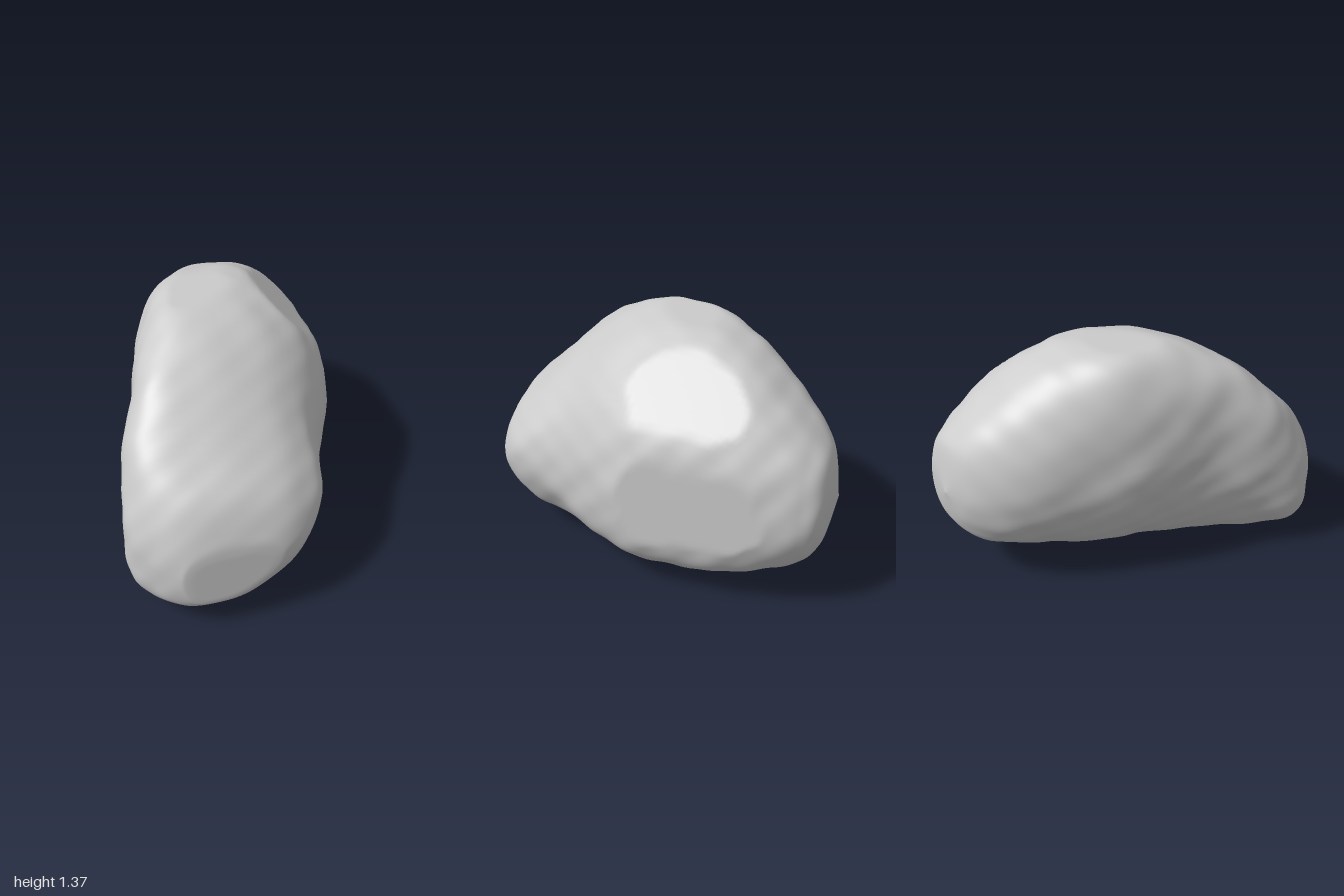
import * as THREE from 'three';

// Cross-sections from back to front:
// z, left x, right x, bottom y, top y, y of left extreme, y of right extreme, x of top, x of bottom
const SECTIONS = [
  [-1.0, 0.3, 0.3, 0.62, 0.62, 0.62, 0.62, 0.3, 0.3],
  [-0.95, 0.13, 0.53, 0.4, 0.87, 0.65, 0.6, 0.3, 0.35],
  [-0.85, -0.01, 0.61, 0.27, 1.0, 0.68, 0.6, 0.25, 0.34],
  [-0.7, -0.13, 0.65, 0.2, 1.14, 0.72, 0.6, 0.17, 0.32],
  [-0.5, -0.24, 0.68, 0.14, 1.29, 0.75, 0.6, 0.06, 0.28],
  [-0.25, -0.36, 0.68, 0.07, 1.38, 0.78, 0.6, -0.05, 0.22],
  [0.0, -0.44, 0.68, 0.05, 1.375, 0.8, 0.6, -0.12, 0.15],
  [0.25, -0.51, 0.58, 0.04, 1.31, 0.78, 0.58, -0.18, 0.04],
  [0.5, -0.61, 0.46, 0.04, 1.15, 0.7, 0.57, -0.24, -0.08],
  [0.75, -0.65, 0.39, 0.06, 0.92, 0.4, 0.55, -0.25, -0.18],
  [0.9, -0.55, 0.27, 0.11, 0.77, 0.37, 0.5, -0.23, -0.26],
  [0.98, -0.45, 0.14, 0.17, 0.6, 0.36, 0.46, -0.2, -0.26],
  [1.0, -0.38, 0.04, 0.22, 0.5, 0.36, 0.42, -0.17, -0.26],
  [1.0, -0.17, -0.17, 0.36, 0.36, 0.36, 0.36, -0.17, -0.17],
];
const RINGS = 120, SIDES = 112;

// Smooth, repeatable surface unevenness
function noise(x, y, z) {
  return 0.5 * Math.sin(9 * x + 5 * y + 2) * Math.sin(8 * z - 4 * y)
    + 0.35 * Math.sin(17 * y + 6 * z) * Math.cos(15 * x - 7 * z + 1)
    + 0.3 * Math.sin(29 * z + 11 * x) * Math.sin(27 * y - 13 * x + 2);
}

// Squareness of each quadrant, changing from the back to the front
function squareness(c, s, z) {
  const front = THREE.MathUtils.smoothstep(z, -0.1, 0.8);
  const middle = THREE.MathUtils.smoothstep(z, -0.9, 0.1);
  if (c < 0) return s < 0 ? 2.0 + 0.6 * front : 2.2 + 0.5 * middle;
  return s < 0 ? 2.7 - 0.75 * front : 2.3 - 0.3 * front;
}

function rockGeometry() {
  // One spline per column, all sharing the same parameter
  const columns = SECTIONS[0].map((_, k) =>
    new THREE.SplineCurve(SECTIONS.map((row, i) => new THREE.Vector2(i, row[k]))));
  const positions = [], indices = [];

  for (let i = 0; i <= RINGS; i++) {
    const [z, xl, xr, yb, yt, yl, yr, xt, xb] = columns.map(c => c.getPoint(i / RINGS).y);
    const spread = Math.min(1, (xr - xl) / 0.4);
    for (let j = 0; j < SIDES; j++) {
      const a = (j / SIDES) * Math.PI * 2;
      const c = Math.cos(a), s = Math.sin(a);
      // Four rounded quadrants between the extremes
      const power = squareness(c, s, z);
      const u = Math.abs(c) ** (2 / power), v = Math.abs(s) ** (2 / power);
      const cx = s > 0 ? xt : xb, cy = c > 0 ? yr : yl;
      let x = cx + u * ((c > 0 ? xr : xl) - cx);
      let y = cy + v * ((s > 0 ? yt : yb) - cy);
      const n = noise(x, y, z) * 0.012 * spread;
      x += n * c;
      y += n * s;
      // Worn slope on the upper right
      const over = Math.max(0, x + y - 1.61);
      x -= over / 2;
      y -= over / 2;
      // Worn flat faces on the right, top and underside
      x = Math.min(x, 0.66);
      y = THREE.MathUtils.clamp(y, 0.06, 1.37);
      // Small knob on the underside
      if (s < 0) {
        const d = Math.hypot(x + 0.1, z - 0.52) / 0.16;
        if (d < 1) y -= 0.06 * (1 - d * d) ** 1.2;
      }
      positions.push(x, Math.max(y, 0), THREE.MathUtils.clamp(z, -1, 1));
    }
  }
  // Skin between rings, with a single fan at each pointed end
  for (let i = 0; i < RINGS; i++) {
    for (let j = 0; j < SIDES; j++) {
      const a = i * SIDES + j, b = i * SIDES + (j + 1) % SIDES;
      const c = a + SIDES, d = b + SIDES;
      if (i > 0) indices.push(a, b, c);
      if (i < RINGS - 1) indices.push(b, d, c);
    }
  }
  const geometry = new THREE.BufferGeometry();
  geometry.setAttribute('position', new THREE.Float32BufferAttribute(positions, 3));
  geometry.setIndex(indices);
  geometry.computeVertexNormals();
  return geometry;
}

export function createModel() {
  const group = new THREE.Group();
  group.name = 'boulder';
  const rock = new THREE.Mesh(rockGeometry(), new THREE.MeshStandardMaterial({ color: 0xcccccc }));
  rock.name = 'rock';
  group.add(rock);
  return group;
}
